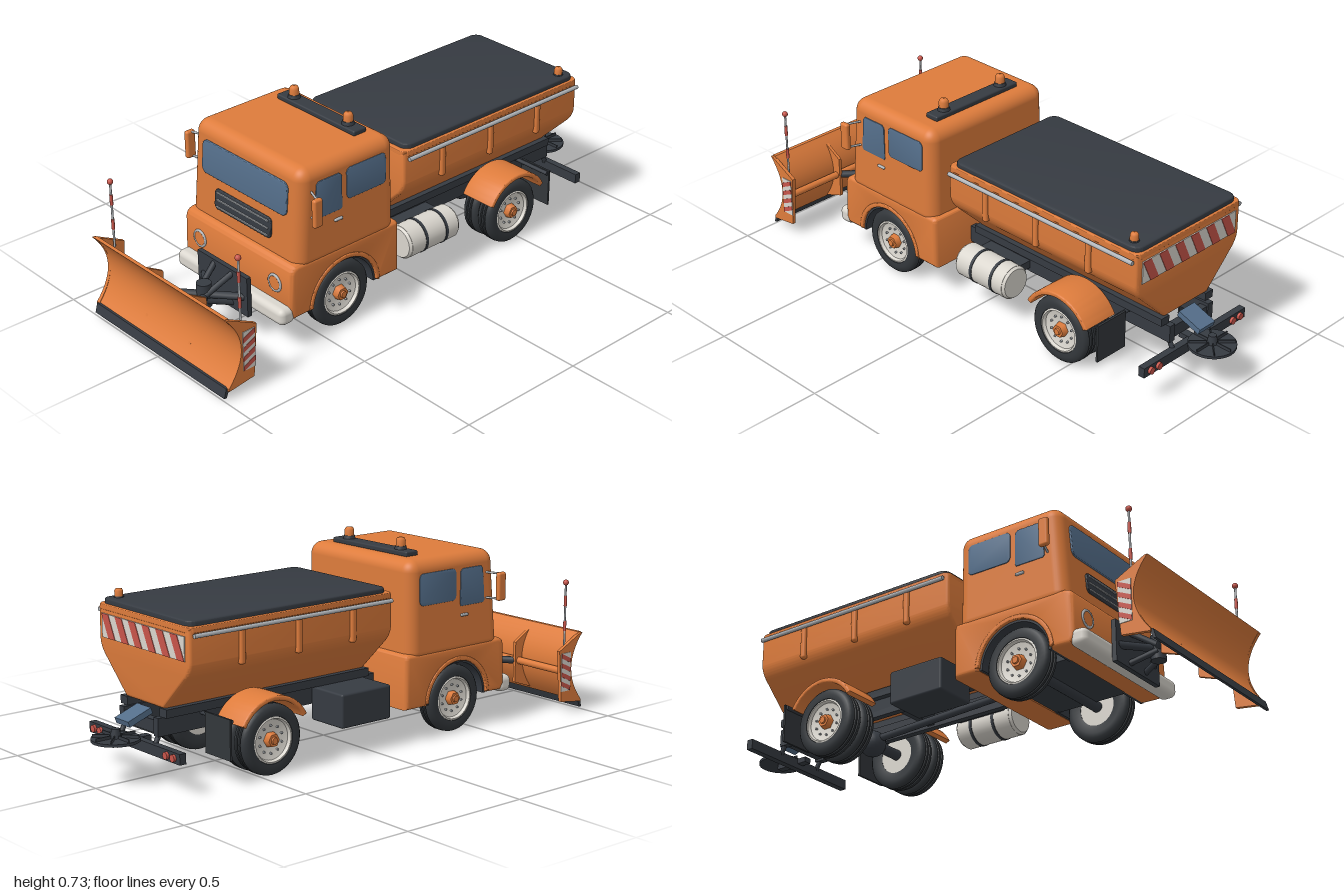
import * as THREE from 'three';
import { toCreasedNormals } from 'three/addons/utils/BufferGeometryUtils.js';
import { RoundedBoxGeometry } from 'three/addons/geometries/RoundedBoxGeometry.js';

const mat = (name, color) => Object.assign(new THREE.MeshStandardMaterial({ color }), { name });

export function createModel() {
  const root = new THREE.Group();
  root.name = 'snowPloughTruck';
  const orange = mat('orange paint', 0xde7c3c), dark = mat('dark steel', 0x363b42), rubber = mat('rubber', 0x33373b);
  const glass = mat('blue glass', 0x546e8a), pale = mat('pale paint', 0xdad6ce), metal = mat('grey metal', 0xb2b6ba);
  const red = mat('red', 0xc8554a);

  // helpers
  const add = (name, geo, m, x = 0, y = 0, z = 0, parent = root) => {
    const mesh = new THREE.Mesh(geo, m);
    mesh.name = name;
    mesh.position.set(x, y, z);
    parent.add(mesh);
    return mesh;
  };
  const box = (name, m, w, h, d, x, y, z) => add(name, new THREE.BoxGeometry(w, h, d), m, x, y, z);
  const rbox = (name, m, w, h, d, r, x, y, z) => add(name, new RoundedBoxGeometry(w, h, d, 3, r), m, x, y, z);
  const cyl = (name, m, r1, r2, h, x, y, z, n = 24) => add(name, new THREE.CylinderGeometry(r1, r2, h, n), m, x, y, z);
  const rod = (name, m, a, b, r, n = 10) => {
    const p = new THREE.Vector3(...a), q = new THREE.Vector3(...b), d = q.clone().sub(p);
    const mesh = cyl(name, m, r, r, d.length(), ...p.clone().add(q).multiplyScalar(0.5).toArray(), n);
    mesh.quaternion.setFromUnitVectors(new THREE.Vector3(0, 1, 0), d.normalize());
    return mesh;
  };
  // centred extrusion; along x the shape is drawn in (z, y), along y in (x, -z)
  const prism = (shape, depth, bevel = 0, axis = 'z') => {
    const g = new THREE.ExtrudeGeometry(shape, {
      depth: depth - 2 * bevel, bevelEnabled: bevel > 0, bevelSize: bevel, bevelThickness: bevel,
      bevelOffset: -bevel, bevelSegments: 3, curveSegments: 16 });
    g.translate(0, 0, bevel - depth / 2);
    if (axis === 'x') g.rotateY(-Math.PI / 2);
    if (axis === 'y') g.rotateX(-Math.PI / 2);
    return toCreasedNormals(g, 0.6);
  };
  const poly = (pts) => new THREE.Shape(pts.map(([x, y]) => new THREE.Vector2(x, y)));
  const roundRect = (w, h, r) => {
    const s = new THREE.Shape(), a = w / 2 - r, b = h / 2 - r;
    s.absarc(a, b, r, 0, Math.PI / 2);
    s.absarc(-a, b, r, Math.PI / 2, Math.PI);
    s.absarc(-a, -b, r, Math.PI, Math.PI * 1.5);
    s.absarc(a, -b, r, Math.PI * 1.5, Math.PI * 2);
    return s;
  };
  const arch = (r0, r1, a0) => {
    const s = new THREE.Shape();
    s.absarc(0, 0, r1, a0, Math.PI - a0);
    s.absarc(0, 0, r0, Math.PI - a0, a0, true);
    return s;
  };
  const FZ = 0.4, RZ = -0.457, AY = 0.127;

  // lower cab with wheel arch
  const lower = new THREE.Shape();
  lower.moveTo(0.145, 0.125);
  lower.lineTo(FZ - 0.148, 0.125);
  lower.absarc(FZ, AY, 0.148, Math.PI, 0, true);
  lower.lineTo(0.63, 0.125);
  lower.lineTo(0.645, 0.15);
  lower.lineTo(0.64, 0.3);
  lower.quadraticCurveTo(0.635, 0.33, 0.6, 0.33);
  lower.lineTo(0.165, 0.33);
  lower.quadraticCurveTo(0.145, 0.33, 0.145, 0.31);
  add('lowerCab', prism(lower, 0.584, 0.015, 'x'), orange);
  box('cabFloor', dark, 0.36, 0.17, 0.44, 0, 0.215, 0.395);

  // upper cab, tapering towards the roof
  const cab = new RoundedBoxGeometry(0.586, 0.38, 0.455, 5, 0.045);
  const p = cab.attributes.position;
  for (let i = 0; i < p.count; i++) {
    const t = p.getY(i) / 0.38 + 0.5;
    p.setX(i, p.getX(i) * (1 - 0.025 * t));
    if (p.getZ(i) > 0) p.setZ(i, p.getZ(i) - 0.03 * t);
  }
  add('upperCab', cab, orange, 0, 0.48, 0.3875);
  const frontZ = (y) => 0.615 - 0.079 * (y - 0.29);
  add('windshield', prism(roundRect(0.454, 0.126, 0.025), 0.009, 0.003), glass, 0, 0.55, frontZ(0.55) + 0.002).rotation.x = -0.079;
  add('grille', prism(roundRect(0.304, 0.078, 0.018), 0.009, 0.003), dark, 0, 0.413, frontZ(0.413) + 0.002).rotation.x = -0.079;
  for (const y of [0.386, 0.413, 0.44]) box('grilleBar', metal, 0.278, 0.005, 0.006, 0, y, frontZ(y) + 0.008);

  // roof bar and beacons
  const beacon = (x, y, z, k) => {
    cyl('beaconBase', dark, 0.02 * k, 0.024 * k, 0.014 * k, x, y + 0.007 * k, z);
    const dome = [[0.018, 0], [0.018, 0.022], [0.013, 0.031], [0, 0.033]].map(([r, h]) => new THREE.Vector2(r * k, h * k));
    add('beaconLamp', new THREE.LatheGeometry(dome, 24), orange, x, y + 0.013 * k, z);
  };
  rbox('roofBar', dark, 0.408, 0.02, 0.058, 0.006, 0, 0.678, 0.247);
  for (const s of [-1, 1]) beacon(s * 0.142, 0.686, 0.247, 1);

  // bumper
  rbox('bumper', pale, 0.58, 0.064, 0.065, 0.022, 0, 0.144, 0.655);

  // wheels
  const tyreProfile = [[0.07, -0.03], [0.1, -0.036], [0.116, -0.033], [0.125, -0.024], [0.127, -0.012], [0.122, -0.01],
    [0.122, -0.006], [0.127, -0.004], [0.127, 0.004], [0.122, 0.006], [0.122, 0.01], [0.127, 0.012], [0.125, 0.024],
    [0.116, 0.033], [0.1, 0.036], [0.084, 0.034], [0.08, 0.02], [0.07, -0.03]].map(([r, h]) => new THREE.Vector2(r, h));
  const tyre = toCreasedNormals(new THREE.LatheGeometry(tyreProfile, 40), 0.7);
  const rimProfile = [[0, -0.028], [0.083, -0.028], [0.083, 0.032], [0.077, 0.034], [0.072, 0.022], [0.045, 0.014], [0, 0.014]]
    .map(([r, h]) => new THREE.Vector2(r, h));
  const rim = toCreasedNormals(new THREE.LatheGeometry(rimProfile, 40), 0.5);
  const wheel = (name, s, x, z, outer = true) => {
    const g = new THREE.Group();
    g.name = name;
    g.position.set(s * x, AY, z);
    g.rotation.z = -s * Math.PI / 2;
    add('tyre', tyre, rubber, 0, 0, 0, g);
    add('rim', rim, pale, 0, 0, 0, g);
    if (outer) {
      add('hub', new THREE.CylinderGeometry(0.024, 0.029, 0.026, 6), orange, 0, 0.025, 0, g);
      add('hubCap', new THREE.CylinderGeometry(0.012, 0.014, 0.008, 12), orange, 0, 0.04, 0, g);
      for (let i = 0; i < 10; i++) {
        const a = i * Math.PI / 5;
        add('wheelBolt', new THREE.CylinderGeometry(0.004, 0.004, 0.01, 6), metal, 0.05 * Math.cos(a), 0.018, 0.05 * Math.sin(a), g);
      }
    }
    root.add(g);
  };

  // mirrored details
  const windowFront = poly([[0.412, 0.476], [0.525, 0.476], [0.532, 0.484], [0.522, 0.605], [0.512, 0.615], [0.42, 0.615], [0.41, 0.605], [0.408, 0.484]]);
  for (const s of [-1, 1]) {
    wheel('frontWheel', s, 0.243, FZ);
    wheel('rearOuterWheel', s, 0.243, RZ);
    wheel('rearInnerWheel', s, 0.17, RZ, false);
    add('archLip', prism(arch(0.146, 0.163, 0.05), 0.02, 0.004, 'x'), orange, s * 0.286, AY, FZ);
    add('archLiner', prism(arch(0.138, 0.149, 0), 0.12, 0, 'x'), dark, s * 0.225, AY, FZ);
    add('rearFender', prism(arch(0.14, 0.158, 0.48), 0.15, 0.005, 'x'), orange, s * 0.22, AY + 0.003, RZ - 0.005);
    box('mudFlap', rubber, 0.14, 0.145, 0.008, s * 0.215, 0.163, -0.645);
    rod('flapBracket', dark, [s * 0.09, 0.225, -0.638], [s * 0.28, 0.225, -0.638], 0.008);

    // cab side details
    add('frontSideWindow', prism(windowFront, 0.008, 0.002, 'x'), glass, s * 0.2875, 0, 0);
    add('rearSideWindow', prism(roundRect(0.18, 0.118, 0.018), 0.008, 0.002, 'x'), glass, s * 0.287, 0.561, 0.297).rotation.z = s * 0.02;
    rbox('doorHandle', metal, 0.012, 0.01, 0.036, 0.004, s * 0.292, 0.443, 0.428);
    rbox('mirror', orange, 0.021, 0.106, 0.038, 0.008, s * 0.341, 0.538, 0.565);
    for (const y of [0.491, 0.586]) rod('mirrorArm', metal, [s * 0.28, y, 0.54], [s * 0.336, y, 0.562], 0.004);
    const ring = add('headlightRing', new THREE.TorusGeometry(0.03, 0.005, 8, 28), metal, s * 0.205, 0.24, 0.643);
    ring.name = 'headlightRing';
    cyl('headlight', orange, 0.028, 0.028, 0.012, s * 0.205, 0.24, 0.64).rotation.x = Math.PI / 2;

    // hopper side rail and ribs
    rod('hopperRail', metal, [s * 0.277, 0.54, 0.083], [s * 0.277, 0.54, -0.785], 0.008);
    for (const z of [-0.09, -0.334, -0.58]) rbox('hopperRib', orange, 0.024, 0.13, 0.024, 0.009, s * 0.264, 0.477, z);

    // chassis rails, light bar brackets and rear lamps
    box('chassisRail', dark, 0.026, 0.065, 1.4, s * 0.1, 0.202, -0.12);
    box('subframeRail', dark, 0.04, 0.03, 0.9, s * 0.115, 0.25, -0.35);
    rod('lightBarBracket', dark, [s * 0.1, 0.19, -0.8], [s * 0.1, 0.13, -0.83], 0.009);
    for (const x of [0.195, 0.235]) cyl('rearLamp', red, 0.013, 0.013, 0.012, s * x, 0.13, -0.848, 16).rotation.x = Math.PI / 2;

    // plough end plate, hazard panel and marker pole
    const end = poly([[0.985, 0.035], [0.985, 0.045]]);
    end.quadraticCurveTo(0.87, 0.18, 0.985, 0.308);
    end.lineTo(0.975, 0.308);
    end.lineTo(0.86, 0.25);
    end.lineTo(0.876, 0.05);
    add('ploughEndPlate', prism(end, 0.014, 0, 'x'), orange, s * 0.364);
    box('hazardPanel', pale, 0.003, 0.15, 0.05, s * 0.372, 0.165, 0.896);
    for (let i = 0; i < 4; i++) {
      const y = 0.09 + i * 0.036;
      add('hazardStripe', prism(poly([[0.871, y + 0.024], [0.921, y], [0.921, y + 0.018], [0.871, y + 0.042]]), 0.003, 0, 'x'), red, s * 0.3735);
    }
    rod('markerPole', metal, [s * 0.348, 0.25, 0.909], [s * 0.348, 0.505, 0.909], 0.004);
    for (const y of [0.34, 0.437]) cyl('markerBand', red, 0.006, 0.006, 0.04, s * 0.348, y, 0.909, 12);
    add('markerBall', new THREE.SphereGeometry(0.011, 16, 12), red, s * 0.348, 0.508, 0.909);

    // plough back ribs and crossed links
    add('ploughRib', prism(poly([[0.975, 0.045], [0.925, 0.14], [0.925, 0.22], [0.97, 0.295], [0.875, 0.24], [0.875, 0.08]]), 0.012, 0, 'x'), orange, s * 0.12);
    rod('ploughLink', dark, [s * 0.11, 0.165, 0.7], [-s * 0.11, 0.165, 0.885], 0.014);
    rod('liftStrut', dark, [s * 0.05, 0.235, 0.7], [s * 0.02, 0.17, 0.8], 0.011);
    rod('lowerStrut', dark, [s * 0.05, 0.115, 0.7], [s * 0.02, 0.15, 0.8], 0.011);
  }

  // plough blade, curved in cross-section
  const blade = new THREE.Shape();
  blade.moveTo(0.985, 0.04);
  blade.quadraticCurveTo(0.87, 0.18, 0.985, 0.31);
  blade.lineTo(0.97, 0.31);
  blade.quadraticCurveTo(0.852, 0.18, 0.97, 0.04);
  add('ploughBlade', prism(blade, 0.724, 0, 'x'), orange);
  add('cuttingEdge', prism(poly([[0.975, 0.045], [0.99, 0.01], [1, 0.01], [0.99, 0.045]]), 0.726, 0, 'x'), dark);
  rod('ploughBackBar', orange, [-0.36, 0.165, 0.895], [0.36, 0.165, 0.895], 0.014);
  box('mountPlate', dark, 0.27, 0.154, 0.018, 0, 0.173, 0.7);
  cyl('linkPivot', dark, 0.027, 0.027, 0.09, 0, 0.165, 0.79);

  // salt hopper, flange and cover
  const hopper = new THREE.Shape();
  hopper.moveTo(-0.11, 0.262);
  hopper.lineTo(0.11, 0.262);
  hopper.lineTo(0.235, 0.385);
  hopper.quadraticCurveTo(0.265, 0.415, 0.265, 0.45);
  hopper.lineTo(0.265, 0.562);
  hopper.lineTo(-0.265, 0.562);
  hopper.lineTo(-0.265, 0.45);
  hopper.quadraticCurveTo(-0.265, 0.415, -0.235, 0.385);
  add('hopper', prism(hopper, 0.893, 0.012), orange, 0, 0, -0.349);
  add('hopperFlange', prism(roundRect(0.536, 0.895, 0.025), 0.022, 0.005, 'y'), orange, 0, 0.557, -0.35);
  add('hopperCover', prism(roundRect(0.516, 0.87, 0.035), 0.026, 0.008, 'y'), dark, 0, 0.573, -0.354);
  beacon(0.22, 0.578, -0.74, 0.85);
  box('rearHazardBoard', pale, 0.48, 0.085, 0.004, 0, 0.492, -0.797);
  for (let i = 0; i < 6; i++) {
    const x = -0.24 + i * 0.08;
    add('rearHazardStripe', prism(poly([[x, 0.45], [x + 0.04, 0.45], [x + 0.08, 0.534], [x + 0.04, 0.534]]), 0.004), red, 0, 0, -0.799);
  }

  // fuel tank on the left, tool box on the right
  const tank = rod('fuelTank', pale, [0.21, 0.171, 0.058], [0.21, 0.171, -0.173], 0.064, 32);
  for (const [z, d] of [[0.062, 1], [-0.177, -1]]) {
    cyl('tankEnd', pale, 0.056, 0.064, 0.012, 0.21, 0.171, z, 32).rotation.x = d * Math.PI / 2;
  }
  tank.name = 'fuelTank';
  for (const z of [-0.015, -0.115]) cyl('tankStrap', dark, 0.066, 0.066, 0.012, 0.21, 0.171, z, 32).rotation.x = Math.PI / 2;
  box('tankBracket', dark, 0.1, 0.03, 0.2, 0.14, 0.2, -0.06);
  rbox('toolBox', dark, 0.17, 0.125, 0.23, 0.008, -0.195, 0.172, -0.035);

  // cross members, axles and drive shaft
  for (const z of [0.1, -0.25, -0.6, -0.8]) box('crossMember', dark, 0.2, 0.045, 0.03, 0, 0.2, z);
  for (const z of [FZ, RZ]) rod('axle', dark, [-0.24, AY, z], [0.24, AY, z], 0.02, 16);
  add('differential', new THREE.SphereGeometry(0.05, 20, 14), dark, 0, AY, RZ);
  rod('driveShaft', dark, [0, 0.14, RZ], [0, 0.17, 0.25], 0.014, 12);

  // chute, spreader disc and rear light bar
  box('chute', glass, 0.08, 0.022, 0.1, 0, 0.226, -0.84).rotation.x = -0.35;
  box('spreaderArm', dark, 0.03, 0.02, 0.14, 0, 0.14, -0.85);
  cyl('spreaderDisc', dark, 0.085, 0.085, 0.01, 0, 0.156, -0.915, 36);
  cyl('spreaderHub', dark, 0.014, 0.02, 0.035, 0, 0.176, -0.915, 16);
  for (let i = 0; i < 8; i++) {
    const a = i * Math.PI / 4;
    box('spreaderVane', dark, 0.06, 0.012, 0.004, 0.05 * Math.cos(a), 0.166, -0.915 - 0.05 * Math.sin(a)).rotation.y = a;
  }
  box('rearLightBar', dark, 0.534, 0.038, 0.026, 0, 0.13, -0.831);

  return root;
}
